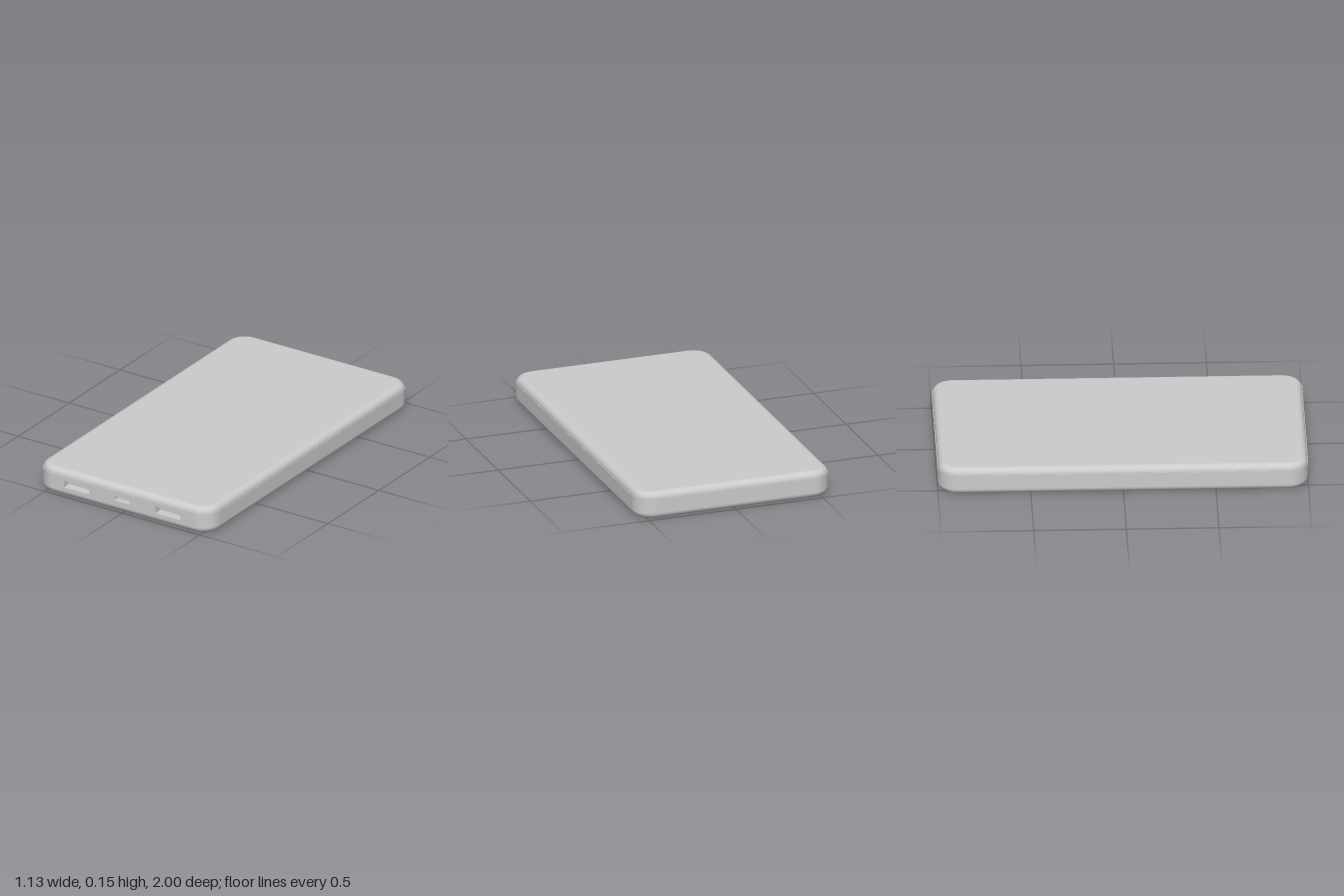
import * as THREE from 'three';

const HX = 0.562, HZ = 1, R = 0.11;           // half width, half length, corner radius
const Y0 = 0.036, Y1 = 0.118, TOP = 0.152;    // seams of the middle band, overall height
const GAP = 0.003, ROUND = 0.042;             // seam step, width of the rounded edge
const STEPS = 12;

const material = new THREE.MeshStandardMaterial({ color: 0xcccccc });

// Rounded-rectangle outline, starting and ending at the two ends of the front edge
function outline() {
  const pts = [];
  [[-1, 1], [-1, -1], [1, -1], [1, 1]].forEach(([sx, sz], c) => {
    for (let i = 0; i <= STEPS; i++) {
      const t = (Math.PI / 2) * (1 + c + i / STEPS);
      pts.push({ cx: sx * (HX - R), cz: sz * (HZ - R), dx: Math.cos(t), dz: Math.sin(t) });
    }
  });
  return pts;
}

// Surface through rows listed from bottom to top; tilt is the slope of the normal
function loft(rows, closed) {
  const pts = outline();
  if (closed) pts.push(pts[0]);
  const n = pts.length, pos = [], nor = [], idx = [];
  rows.forEach(({ inset, y, tilt, centre }, r) => {
    pts.forEach((p, i) => {
      const k = centre ? 0 : 1, h = Math.cos(tilt);
      pos.push(k * (p.cx + (R - inset) * p.dx), y, k * (p.cz + (R - inset) * p.dz));
      nor.push(p.dx * h, Math.sin(tilt), p.dz * h);
      if (r && i < n - 1) {
        const a = (r - 1) * n + i, b = r * n + i;
        idx.push(a, b, a + 1, b, b + 1, a + 1);
      }
    });
  });
  const g = new THREE.BufferGeometry();
  g.setAttribute('position', new THREE.Float32BufferAttribute(pos, 3));
  g.setAttribute('normal', new THREE.Float32BufferAttribute(nor, 3));
  g.setIndex(idx);
  return g;
}

// Rows of a cover: seam ledge, rounded edge, flat face (dir 1 = top, -1 = bottom)
function coverRows(seamY, endY, dir) {
  const up = dir * Math.PI / 2;
  const rows = [{ inset: 0, y: seamY, tilt: up }, { inset: GAP, y: seamY, tilt: up }];
  for (let i = 0; i <= 8; i++) {
    const a = (i / 8) * Math.PI / 2;
    rows.push({
      inset: GAP + (ROUND - GAP) * (1 - Math.cos(a)),
      y: seamY + (endY - seamY) * Math.sin(a),
      tilt: dir * a,
    });
  }
  rows.push({ inset: 0, y: endY, tilt: up, centre: true });
  return dir > 0 ? rows : rows.reverse();
}

function roundedRect(target, x, y, w, h, r) {
  const x0 = x - w / 2, x1 = x + w / 2, y0 = y - h / 2, y1 = y + h / 2;
  target.moveTo(x0 + r, y0).lineTo(x1 - r, y0).quadraticCurveTo(x1, y0, x1, y0 + r);
  target.lineTo(x1, y1 - r).quadraticCurveTo(x1, y1, x1 - r, y1);
  target.lineTo(x0 + r, y1).quadraticCurveTo(x0, y1, x0, y1 - r);
  target.lineTo(x0, y0 + r).quadraticCurveTo(x0, y0, x0 + r, y0);
  return target;
}

export function createModel() {
  const model = new THREE.Group();
  model.name = 'powerBank';
  const add = (name, geometry, parent = model) => {
    const mesh = new THREE.Mesh(geometry, material);
    mesh.name = name;
    parent.add(mesh);
    return mesh;
  };

  // Shell
  add('topCover', loft(coverRows(Y1, TOP, 1), true));
  add('bottomCover', loft(coverRows(Y0, 0, -1), true));
  add('sideBand', loft([{ inset: 0, y: Y0, tilt: 0 }, { inset: 0, y: Y1, tilt: 0 }], false));

  // Front panel with port openings
  const ports = [
    { name: 'rightLargePort', x: -0.295, w: 0.16, h: 0.043, r: 0.003, depth: 0.14, tongueY: 0.083, tongueH: 0.014 },
    { name: 'smallPort', x: 0, w: 0.094, h: 0.028, r: 0.008, depth: 0.09, tongueY: 0.077, tongueH: 0.007 },
    { name: 'leftLargePort', x: 0.295, w: 0.16, h: 0.043, r: 0.003, depth: 0.14, tongueY: 0.083, tongueH: 0.014 },
  ];
  const portY = 0.077, flat = HX - R;
  const panel = new THREE.Shape();
  panel.moveTo(-flat, Y0).lineTo(flat, Y0).lineTo(flat, Y1).lineTo(-flat, Y1).closePath();
  ports.forEach(p => panel.holes.push(roundedRect(new THREE.Path(), p.x, portY, p.w, p.h, p.r)));
  add('frontPanel', new THREE.ShapeGeometry(panel, 4).translate(0, 0, HZ));

  // Port sockets, mirrored in depth so that their walls face inwards, with contact tongues
  ports.forEach(p => {
    const group = new THREE.Group();
    group.name = p.name;
    model.add(group);
    const socket = new THREE.ExtrudeGeometry(
      roundedRect(new THREE.Shape(), p.x, portY, p.w, p.h, p.r),
      { depth: p.depth, bevelEnabled: false, curveSegments: 4 });
    socket.scale(1, 1, -1).translate(0, 0, HZ);
    socket.computeVertexNormals();
    add('socket', socket, group);
    const length = p.depth - 0.015;
    add('tongue', new THREE.BoxGeometry(p.w * 0.8, p.tongueH, length), group)
      .position.set(p.x, p.tongueY, HZ - p.depth + length / 2);
  });

  // Round power button on the right side, near the front
  const button = add('powerButton', new THREE.CylinderGeometry(0.036, 0.036, 0.02, 40));
  button.rotation.z = Math.PI / 2;
  button.position.set(-HX + 0.006, portY, 0.765);

  return model;
}
